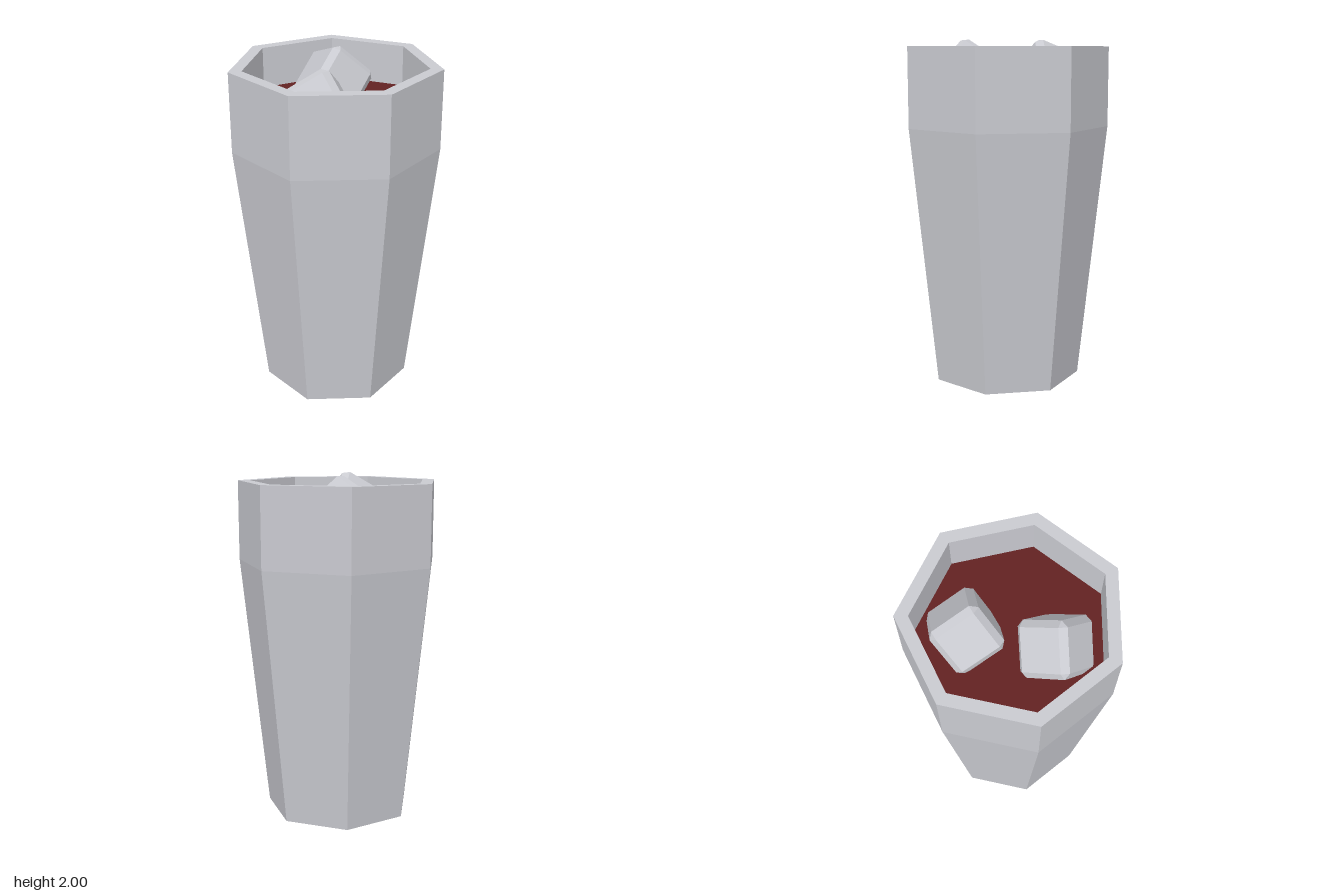
import * as THREE from 'three';
import { ConvexGeometry } from 'three/addons/geometries/ConvexGeometry.js';

const SIDES = 7;
const AXIS_Z = 0.027; // the heptagon's axis sits slightly forward of the bounding-box centre

const glassMaterial = new THREE.MeshStandardMaterial({ color: 0xc9cad0 });
glassMaterial.name = 'pale grey glass';
const drinkMaterial = new THREE.MeshStandardMaterial({ color: 0x622222 });
drinkMaterial.name = 'dark red drink';

// Faceted solid of revolution with one corner pointing to the back
function facetedLathe(profile) {
  const points = profile.map(([r, y]) => new THREE.Vector2(r, y));
  const geometry = new THREE.LatheGeometry(points, SIDES, Math.PI).toNonIndexed();
  geometry.computeVertexNormals();
  return geometry;
}

// Cube with chamfered edges and corners
function chamferedCube(half, flat) {
  const points = [];
  for (const x of [-1, 1]) for (const y of [-1, 1]) for (const z of [-1, 1]) {
    points.push(
      new THREE.Vector3(x * half, y * flat, z * flat),
      new THREE.Vector3(x * flat, y * half, z * flat),
      new THREE.Vector3(x * flat, y * flat, z * half)
    );
  }
  return new ConvexGeometry(points);
}

function addMesh(parent, name, geometry, material) {
  const mesh = new THREE.Mesh(geometry, material);
  mesh.name = name;
  parent.add(mesh);
  return mesh;
}

export function createModel() {
  const group = new THREE.Group();
  group.name = 'iced drink';

  // Tumbler: tapered outside, straight upper band, thick rim and hollow inside
  const tumbler = addMesh(group, 'tumbler', facetedLathe([
    [0, 0], [0.436, 0], [0.595, 1.5], [0.595, 1.96],
    [0.521, 1.96], [0.521, 1.5], [0.37, 0.08], [0, 0.08]
  ]), glassMaterial);
  tumbler.position.z = AXIS_Z;

  // Drink filling the inside
  const drink = addMesh(group, 'drink', facetedLathe([
    [0, 0.085], [0.365, 0.085], [0.518, 1.5], [0.52, 1.725], [0, 1.725]
  ]), drinkMaterial);
  drink.position.z = AXIS_Z;

  // Ice cubes floating with one corner up; two edge directions fix each tilt
  const cube = chamferedCube(0.15, 0.116);
  const tilts = [
    { name: 'backIceCube', at: [-0.195, 1.78, -0.123], a: [-0.215, -0.079, -0.037], b: [0.035, -0.154, 0.17] },
    { name: 'frontIceCube', at: [0.115, 1.778, 0.238], a: [0.165, -0.157, 0.005], b: [-0.105, -0.124, -0.16] }
  ];
  for (const { name, at, a, b } of tilts) {
    const ice = addMesh(group, name, cube, glassMaterial);
    const u = new THREE.Vector3(...a).normalize();
    const w = u.clone().cross(new THREE.Vector3(...b)).normalize();
    const v = w.clone().cross(u);
    ice.quaternion.setFromRotationMatrix(new THREE.Matrix4().makeBasis(u, v, w));
    ice.position.set(...at);
  }

  return group;
}
